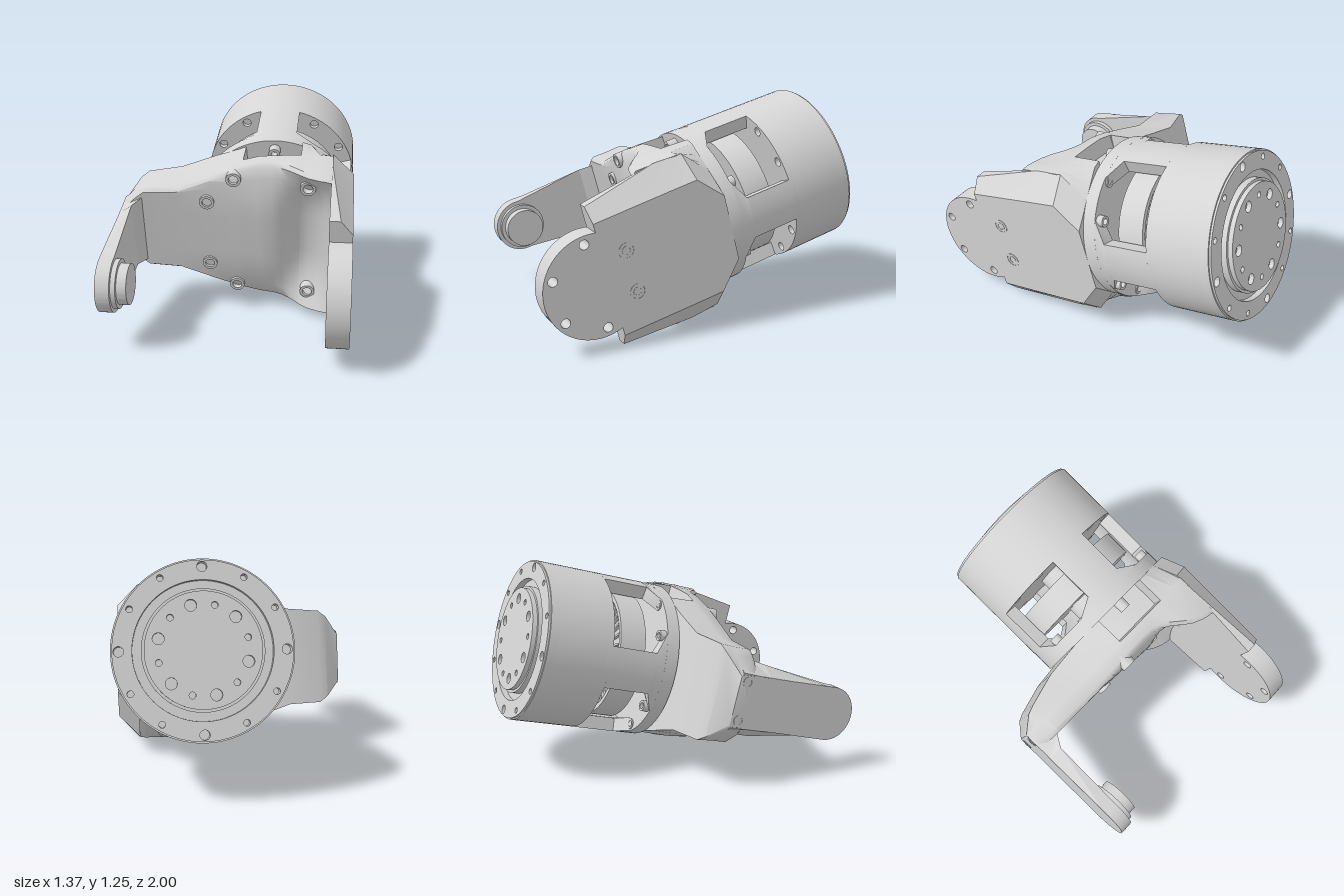
import * as THREE from 'three';
import { toCreasedNormals } from 'three/addons/utils/BufferGeometryUtils.js';

const metal = new THREE.MeshStandardMaterial({ color: 0xd4d4d4 });
metal.name = 'grey metal';
const CX = 0.205, R = 0.47, BOLT = 0.428, PIVOT = 0.83;

function add(group, name, geo, crease = 0.6) {
  const mesh = new THREE.Mesh(toCreasedNormals(geo, crease), metal);
  mesh.name = name;
  group.add(mesh);
  return mesh;
}

// Closed skin through equal-length rings of [x, y, z], wound outward.
function loft(rings) {
  const n = rings[0].length, pos = rings.flat(2), idx = [];
  for (let i = 0; i < rings.length - 1; i++)
    for (let j = 0; j < n; j++) {
      const a = i * n + j, b = i * n + (j + 1) % n;
      idx.push(a, b, b + n, a, b + n, a + n);
    }
  [0, rings.length - 1].forEach((r, end) => {
    const c = pos.length / 3;
    for (let k = 0; k < 3; k++) pos.push(rings[r].reduce((s, p) => s + p[k], 0) / n);
    for (let j = 0; j < n; j++) {
      const a = r * n + j, b = r * n + (j + 1) % n;
      if (end) idx.push(a, b, c); else idx.push(b, a, c);
    }
  });
  const P = i => new THREE.Vector3().fromArray(pos, idx[i] * 3);
  let volume = 0;
  for (let i = 0; i < idx.length; i += 3) volume += P(i).dot(P(i + 1).cross(P(i + 2)));
  if (volume < 0) idx.reverse();
  const g = new THREE.BufferGeometry();
  g.setAttribute('position', new THREE.Float32BufferAttribute(pos, 3));
  g.setIndex(idx);
  g.computeVertexNormals();
  return g;
}

const circle = (x, y, r) => new THREE.Path().absarc(x, y, r, 0, Math.PI * 2, true);

// Round plate along z with an optional bore and bolt holes [x, y, r].
function plate(r, z0, z1, bore = 0, holes = []) {
  const s = new THREE.Shape().absarc(0, 0, r, 0, Math.PI * 2, false);
  if (bore) s.holes.push(circle(0, 0, bore));
  holes.forEach(h => s.holes.push(circle(...h)));
  return new THREE.ExtrudeGeometry(s, { depth: z1 - z0, bevelEnabled: false, curveSegments: r > 0.1 ? 40 : 12 }).translate(0, 0, z0);
}

// Outline drawn in (z, y), given thickness in x ending at x1.
function sidePlate(shape, x0, x1) {
  return new THREE.ExtrudeGeometry(shape, { depth: x1 - x0, bevelEnabled: false, curveSegments: 32 })
    .rotateY(-Math.PI / 2).translate(x1, 0, 0);
}

const boltCircle = (n, r, size, start = 0) => Array.from({ length: n }, (_, i) => {
  const a = start + i * Math.PI * 2 / n;
  return [r * Math.cos(a), r * Math.sin(a), size(i)];
});

// Curved wall block centred at an angle, its half width going from h0 at z0 to h1 at z1.
function wallBlock(angle, h0, h1, z0, z1) {
  const g = new THREE.BoxGeometry(1, 1, 1, 8, 1, 1), p = g.attributes.position;
  for (let i = 0; i < p.count; i++) {
    const t = p.getZ(i) + 0.5, r = p.getY(i) > 0 ? R : 0.39;
    const a = angle - p.getX(i) * 2 * (h0 + (h1 - h0) * t);
    p.setXYZ(i, r * Math.cos(a), r * Math.sin(a), z0 + (z1 - z0) * t);
  }
  g.computeVertexNormals();
  return g;
}

function buildMotor() {
  const m = new THREE.Group();
  m.name = 'motorHousing';
  m.position.x = CX;
  const deg = Math.PI / 180, twelve = boltCircle(12, BOLT, i => i % 3 ? 0.017 : 0.026);
  add(m, 'frontFlange', plate(R, -0.078, 0));
  // four posts with flared feet leave four windows
  for (let i = 0; i < 4; i++) {
    add(m, 'housingPost', wallBlock(i * 90 * deg, 15 * deg, 15 * deg, -0.42, -0.14));
    add(m, 'postFoot', wallBlock(i * 90 * deg, 15 * deg, 30 * deg, -0.14, -0.078));
  }
  const windowBolts = boltCircle(12, BOLT, () => 0.026).filter((_, i) => i % 3);
  add(m, 'housingBulkhead', plate(R, -0.45, -0.42, 0.1, windowBolts));
  add(m, 'housingSleeve', plate(R, -0.75, -0.45, 0.39));
  add(m, 'endRing', plate(R, -0.8, -0.75, 0.36, twelve));
  add(m, 'endRingEdge', plate(R - 0.008, -0.812, -0.8, 0.36, twelve));
  add(m, 'endFloor', plate(0.4, -0.775, -0.75));
  add(m, 'outputLip', plate(0.315, -0.815, -0.775));
  add(m, 'outputDisc', plate(0.3, -0.842, -0.815, 0, boltCircle(12, 0.235, i => i % 2 ? 0.017 : 0.03, 0.26)));
  // rotor inside the windows
  add(m, 'shaft', plate(0.12, -0.43, -0.07));
  add(m, 'rotorDrum', plate(0.38, -0.315, -0.175));
  add(m, 'rotorRim', plate(0.38, -0.335, -0.315, 0.355));
  for (let i = 0; i < 36; i++)
    add(m, 'rotorFin', new THREE.BoxGeometry(0.2, 0.012, 0.02).translate(0.25, 0, -0.325).rotateZ(i * 10 * deg));
  // screw heads on the flange, tall beside the side posts and low elsewhere
  windowBolts.forEach(([x, y]) => {
    const height = Math.abs(y) < 0.3 ? 0.04 : 0.008;
    add(m, 'windowScrew', plate(0.032, -0.078 - height, -0.078, 0.018).translate(x, y, 0));
  });
  return m;
}

function buildBody() {
  const b = new THREE.Group();
  b.name = 'forkBody';
  // x, rear half height, front half height, rear z, edge z, middle z, notch depth
  const rows = [
    [-0.685, 0.14, 0.15, 0.17, 0.28, 0.28, 0], [-0.6, 0.245, 0.235, 0.09, 0.285, 0.285, 0],
    [-0.55, 0.28, 0.275, 0.07, 0.285, 0.285, 0], [-0.355, 0.29, 0.285, 0.02, 0.285, 0.285, 0],
    [-0.15, 0.36, 0.365, 0, 0.28, 0.3, 0], [0, 0.41, 0.42, 0, 0.275, 0.31, 0],
    [0.035, 0.425, 0.432, 0, 0.27, 0.315, 0], [0.04, 0.425, 0.433, 0, 0.27, 0.315, 0.1],
    [0.13, 0.455, 0.458, 0, 0.265, 0.325, 0.1], [0.21, 0.465, 0.465, 0, 0.27, 0.33, 0.1],
    [0.26, 0.465, 0.468, 0, 0.285, 0.315, 0.1], [0.31, 0.465, 0.47, 0, 0.315, 0.285, 0.1],
    [0.365, 0.465, 0.473, 0, 0.36, 0.26, 0.1], [0.37, 0.465, 0.473, 0, 0.365, 0.258, 0],
    [0.42, 0.45, 0.473, 0, 0.4, 0.255, 0], [0.48, 0.39, 0.473, 0, 0.425, 0.285, 0],
    [0.52, 0.35, 0.473, 0, 0.435, 0.325, 0], [0.555, 0.312, 0.468, 0, 0.44, 0.38, 0],
  ];
  add(b, 'bodyShell', loft(rows.map(([x, hr, hf, zr, ze, zm, d]) => {
    const top = [[hr - d, zr], [hf - d, Math.max(zr + 0.01, 0.165)], [hf, Math.max(zr + 0.02, 0.17)], [hf, ze - 0.025]];
    // front face eases from the rounded edge to the middle
    for (let t = 0; t <= 1; t += 0.2)
      top.push([hf - 0.02 - (hf - 0.14) * t, zm + (ze - zm) * (1 - t) ** 2]);
    return [...top.map(([y, z]) => [x, y, z]), ...top.reverse().map(([y, z]) => [x, -y, z])];
  })), 0.75);
  // screw sockets on the front, in the notches and on the narrow side
  for (const s of [1, -1]) {
    for (const [x, y, z] of [[-0.17, 0.215, 0.31], [-0.01, 0.37, 0.305], [0.42, 0.36, 0.36]])
      add(b, 'screwSocket', plate(0.044, z - 0.08, z, 0.028).translate(x, s * y, 0));
    add(b, 'notchScrew', plate(0.034, 0, 0.06, 0.018).translate(CX, s * 0.41, 0));
    add(b, 'sideSocket', plate(0.032, -0.688, -0.66, 0.022).rotateY(Math.PI / 2).translate(0, s * 0.11, 0.22));
  }
  return b;
}

function buildWideArm() {
  const g = new THREE.Group();
  g.name = 'wideArm';
  // z, flat half height, top half height, x where the chamfer starts
  const rows = [[0, 0.192, 0.315, 0.552], [0.137, 0.338, 0.465, 0.552], [0.308, 0.336, 0.473, 0.556], [0.755, 0.328, 0.41, 0.61]];
  add(g, 'armPlate', loft(rows.map(([z, f, t, x]) =>
    [[0.55, t, z], [x, t, z], [0.675, f, z], [0.675, -f, z], [x, -t, z], [0.55, -t, z]])), 0.2);
  // rounded end with through holes around the pivot
  const a = Math.acos(-0.08 / 0.29);
  const end = new THREE.Shape().absarc(PIVOT, 0, 0.29, -a, a, false);
  const holes = boltCircle(6, 0.243, () => 0.026, Math.PI / 6);
  holes.forEach(([x, y, r]) => { if (x > -0.1) end.holes.push(circle(PIVOT + x, y, r)); });
  add(g, 'armEnd', sidePlate(end, 0.55, 0.675));
  holes.filter(h => h[0] < -0.1).forEach(([x, y]) => {
    for (const r of [0.045, 0.026])
      add(g, 'holeRim', plate(r, 0, 0.003, r - 0.006).rotateY(Math.PI / 2).translate(0.674, y, PIVOT + x));
  });
  return g;
}

function buildNarrowArm() {
  const g = new THREE.Group();
  g.name = 'narrowArm';
  const s = new THREE.Shape();
  s.moveTo(0.22, 0.15);
  s.lineTo(0.22, -0.15);
  s.lineTo(PIVOT, -0.16);
  s.absarc(PIVOT, 0, 0.16, -Math.PI / 2, Math.PI / 2, false);
  add(g, 'armPlate', sidePlate(s, -0.685, -0.605));
  // web widening towards the body
  add(g, 'armWeb', loft([[0.18, 0.16, 0.235, -0.56], [0.285, 0.155, 0.22, -0.56], [0.36, 0.155, 0.21, -0.605], [0.8, 0.155, 0.16, -0.605]]
    .map(([z, ho, hi, x]) => [[x, hi, z], [-0.684, ho, z], [-0.684, -ho, z], [x, -hi, z]])), 0.2);
  // pivot boss
  for (const [r, x0, x1] of [[0.138, -0.61, -0.578], [0.115, -0.58, -0.523]])
    add(g, 'pivotBoss', plate(r, x0, x1).rotateY(Math.PI / 2).translate(0, 0, PIVOT));
  return g;
}

export function createModel() {
  const model = new THREE.Group();
  model.name = 'forkJoint';
  // the whole joint leans back by 15 degrees
  const tilt = new THREE.Group();
  tilt.name = 'tiltedAssembly';
  tilt.position.set(0, 0.5875, -0.09);
  tilt.rotation.x = Math.PI / 12;
  tilt.add(buildMotor(), buildBody(), buildWideArm(), buildNarrowArm());
  model.add(tilt);
  return model;
}
